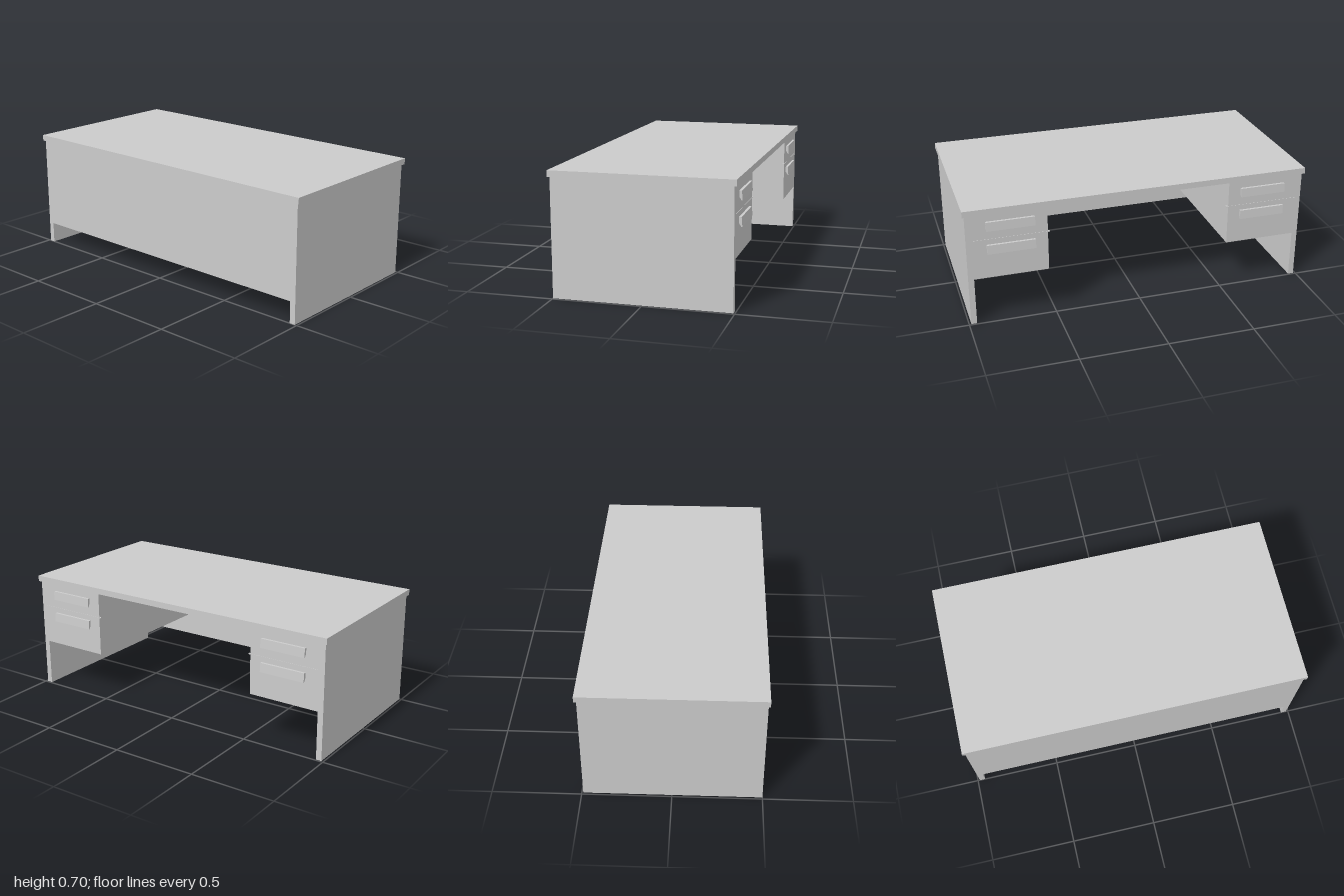
import * as THREE from 'three';

export function createModel() {
  const desk = new THREE.Group();
  desk.name = 'desk';
  const grey = new THREE.MeshStandardMaterial({ color: 0xcccccc, flatShading: true });

  // Box given by its lower and upper limits on each axis
  function box(name, [x0, x1], [y0, y1], [z0, z1], parent = desk) {
    const mesh = new THREE.Mesh(new THREE.BoxGeometry(x1 - x0, y1 - y0, z1 - z0), grey);
    mesh.name = name;
    mesh.position.set((x0 + x1) / 2, (y0 + y1) / 2, (z0 + z1) / 2);
    parent.add(mesh);
    return mesh;
  }

  // Limits mirrored to the given side
  const mirror = (side, a, b) => (side > 0 ? [a, b] : [-b, -a]);

  const top = 0.667, back = -0.492, front = 0.5;

  box('desktop', [-1, 1], [top, 0.702], [-0.505, 0.51]);
  box('modestyPanel', [-0.955, 0.955], [0.125, top], [0.468, front]);

  // Hooked drawer pull: cross-section in (depth behind the drawer, height)
  const pull = new THREE.Shape([
    [0, 0], [0, -0.032], [0.012, -0.052], [0.018, -0.052], [0.014, 0],
  ].map(([d, y]) => new THREE.Vector2(d, y)));
  const pullGeometry = new THREE.ExtrudeGeometry(pull, { depth: 0.27, bevelEnabled: false });
  pullGeometry.translate(0, 0, -0.135);
  pullGeometry.rotateY(Math.PI / 2);

  for (const side of [1, -1]) {
    const label = side > 0 ? 'left' : 'right';
    box(label + 'SidePanel', mirror(side, 0.955, 0.988), [0, top], [back, front]);

    // Drawer pedestal with the dividing strip between its two drawers
    const pedestal = new THREE.Group();
    pedestal.name = label + 'Pedestal';
    desk.add(pedestal);
    box('drawerCase', mirror(side, 0.533, 0.955), [0.28, top], [back, 0.468], pedestal);
    box('drawerDivider', mirror(side, 0.522, 0.955), [0.511, 0.516], [back - 0.002, back + 0.01], pedestal);

    for (const y of [0.622, 0.483]) {
      const handle = new THREE.Mesh(pullGeometry, grey);
      handle.name = 'drawerHandle';
      handle.position.set(side * 0.74, y, back);
      pedestal.add(handle);
    }
  }
  return desk;
}
